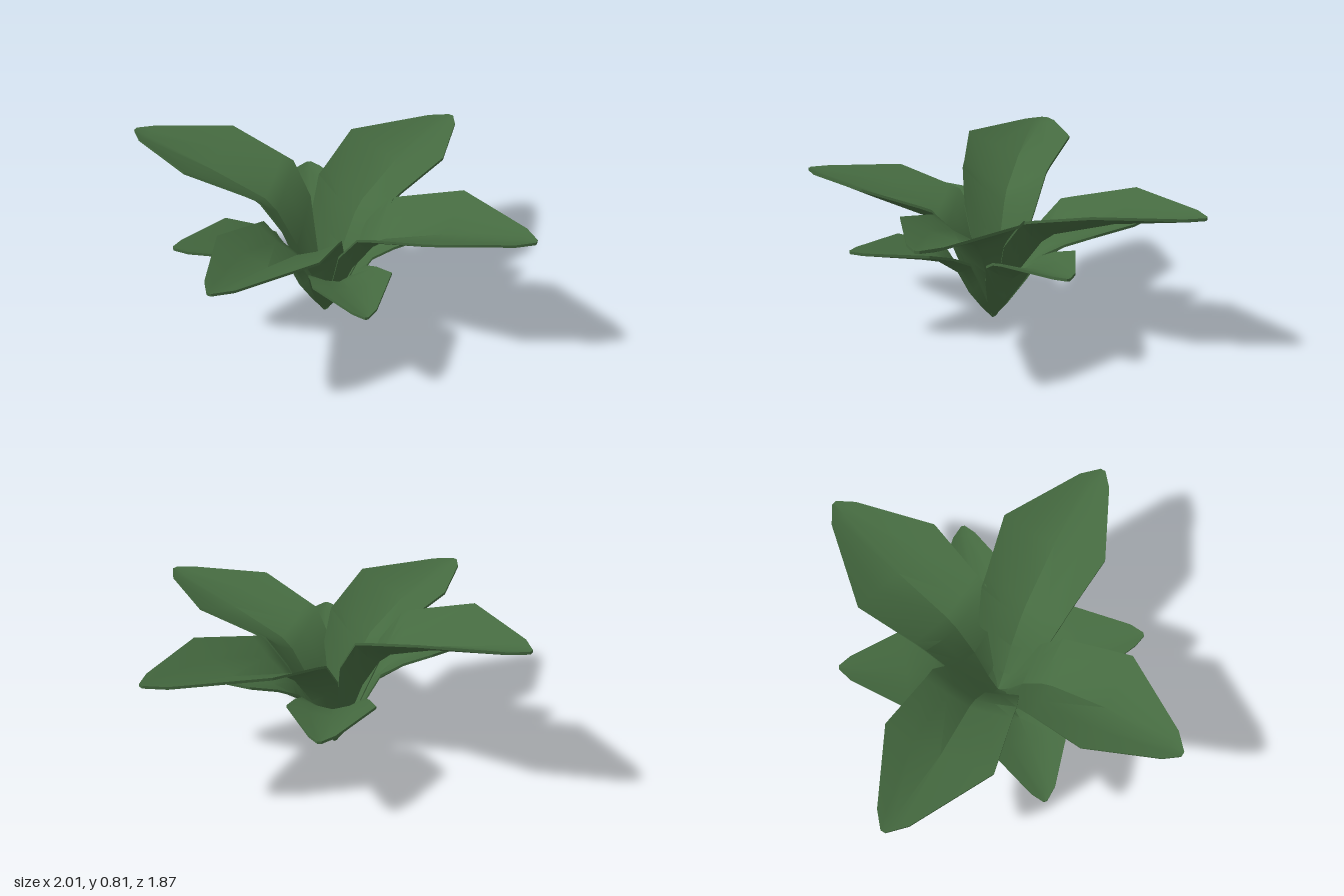
import * as THREE from 'three';
import { toCreasedNormals } from 'three/addons/utils/BufferGeometryUtils.js';

// Leaf cross-sections from root to tip: [distance, half width, midrib height, edge height],
// the first two as fractions of leaf length, the last two as fractions of tip height.
const TIP = [
  [0.93, 0.077, 0.97, 1],
  [1, 0.012, 0.998, 1],
];
const LARGE = [
  [0, 0.02, 0.025, 0.05],
  [0.06, 0.085, 0.16, 0.27],
  [0.14, 0.172, 0.44, 0.67],
  [0.24, 0.205, 0.655, 0.87],
  [0.3, 0.212, 0.725, 0.895],
  [0.58, 0.257, 0.86, 1],
  ...TIP,
];
const SMALL = [
  [0, 0.02, 0.035, 0.07],
  [0.08, 0.085, 0.17, 0.27],
  [0.18, 0.155, 0.38, 0.56],
  [0.26, 0.195, 0.63, 0.8],
  [0.4, 0.225, 0.79, 0.91],
  [0.58, 0.265, 0.87, 1],
  ...TIP,
];
const ACROSS = [-1, -0.5, 0, 0.5, 1];
const THICKNESS = 0.013;

// Folded leaf blade as a thin closed solid, heading at `degrees` measured from +x towards +z
function leafGeometry(sections, degrees, length, height) {
  const positions = [];
  const index = [];
  const n = ACROSS.length;
  const ring = n * 2;

  for (const [s, w, mid, edge] of sections) {
    // the blade sweeps slightly sideways towards its tip
    const a = THREE.MathUtils.degToRad(degrees - 3 * Math.min(1, (1 - s) / 0.42));
    const point = (t, drop) => {
      const y = height * (mid + (edge - mid) * Math.abs(t) ** 1.3);
      positions.push(
        length * (s * Math.cos(a) - t * w * Math.sin(a)),
        Math.max(0, y - drop),
        length * (s * Math.sin(a) + t * w * Math.cos(a)),
      );
    };
    ACROSS.forEach((t) => point(t, 0));
    [...ACROSS].reverse().forEach((t) => point(t, THICKNESS));
  }

  // skin between neighbouring sections
  const last = sections.length - 1;
  for (let i = 0; i < last; i++) {
    for (let k = 0; k < ring; k++) {
      const a = i * ring + k;
      const b = i * ring + ((k + 1) % ring);
      index.push(a, b, a + ring, b, b + ring, a + ring);
    }
  }
  // root and tip caps
  for (let j = 0; j < n - 1; j++) {
    const [t0, t1, b0, b1] = [j, j + 1, ring - 1 - j, ring - 2 - j];
    const e = last * ring;
    index.push(t0, b0, t1, t1, b0, b1);
    index.push(e + t0, e + t1, e + b0, e + t1, e + b1, e + b0);
  }

  const geometry = new THREE.BufferGeometry();
  geometry.setAttribute('position', new THREE.Float32BufferAttribute(positions, 3));
  geometry.setIndex(index);
  return toCreasedNormals(geometry, 0.6);
}

export function createModel() {
  const plant = new THREE.Group();
  plant.name = 'leafyPlant';
  const green = new THREE.MeshStandardMaterial({ color: 0x456a40 });

  // [name, sections, heading in degrees, length, tip height]
  const leaves = [
    // upper whorl of large leaves
    ['upperLeafRightSide', LARGE, 197.7, 1.05, 0.81],
    ['upperLeafLeftSide', LARGE, 18.8, 1.055, 0.69],
    ['upperLeafFront', LARGE, 112, 1.0, 0.69],
    ['upperLeafBack', LARGE, -58.3, 1.09, 0.69],
    // lower whorl of small leaves
    ['lowerLeafBack', SMALL, 256.7, 0.775, 0.45],
    ['lowerLeafLeftSide', SMALL, -24.5, 0.75, 0.45],
    ['lowerLeafFront', SMALL, 68.3, 0.73, 0.45],
    ['lowerLeafRightSide', SMALL, 152.4, 0.755, 0.54],
  ];
  for (const [name, ...shape] of leaves) {
    const leaf = new THREE.Mesh(leafGeometry(...shape), green);
    leaf.name = name;
    plant.add(leaf);
  }
  return plant;
}
